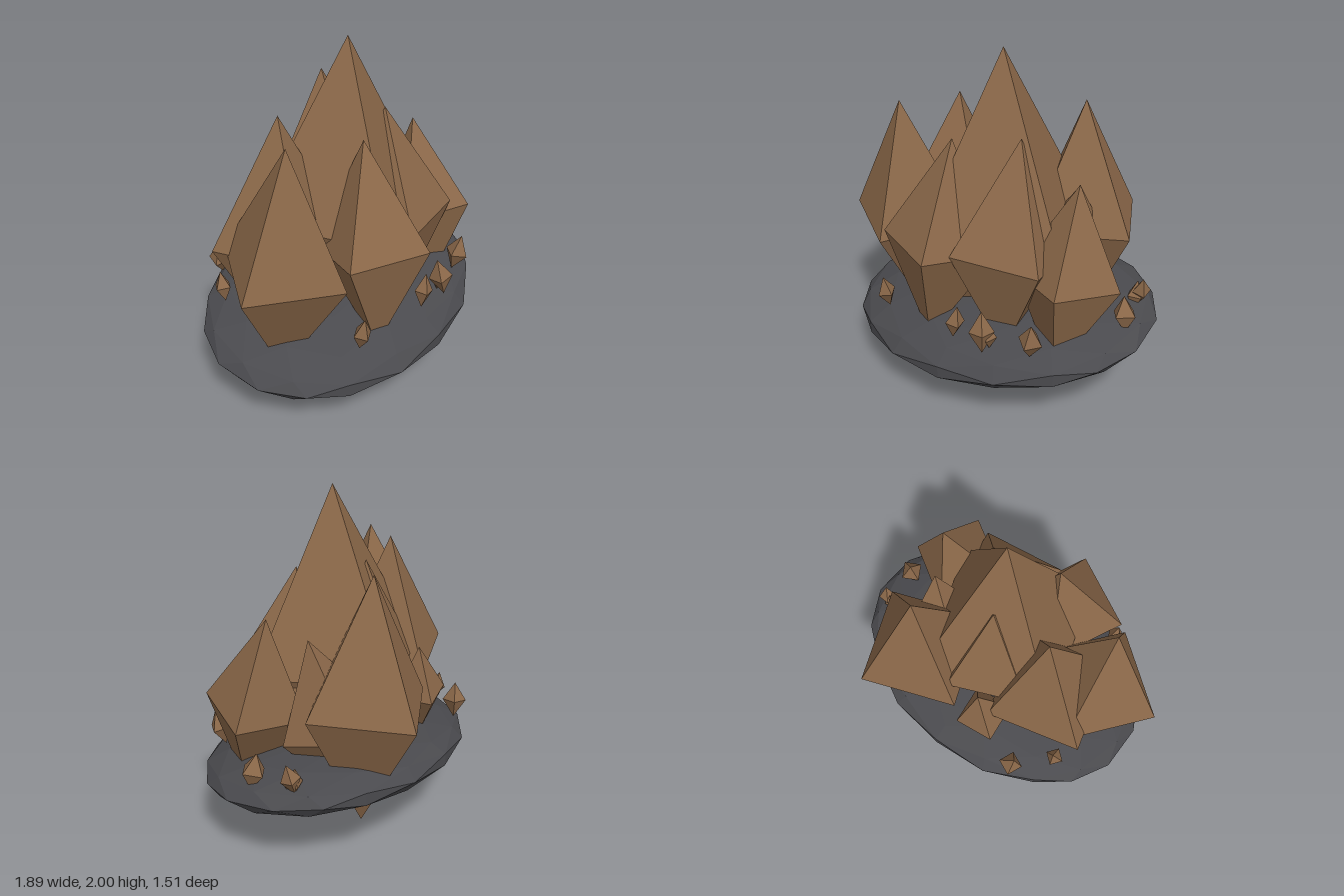
import * as THREE from 'three';

const crystalBrown = new THREE.MeshStandardMaterial({ color: 0x8b6849, flatShading: true });
crystalBrown.name = 'crystal brown';
const rockGrey = new THREE.MeshStandardMaterial({ color: 0x4a4a4e, flatShading: true });
rockGrey.name = 'rock grey';

// Four-sided double-pointed crystal running from its lower tip to its upper tip
function crystal(name, bottom, top, radius, spinDegrees) {
  const a = new THREE.Vector3(...bottom);
  const b = new THREE.Vector3(...top);
  const axis = b.clone().sub(a);
  const geometry = new THREE.OctahedronGeometry(1, 0);
  geometry.rotateY(-THREE.MathUtils.degToRad(spinDegrees));
  geometry.scale(radius, axis.length() / 2, radius);
  const mesh = new THREE.Mesh(geometry, crystalBrown);
  mesh.name = name;
  mesh.position.copy(a).add(b).multiplyScalar(0.5);
  mesh.quaternion.setFromUnitVectors(new THREE.Vector3(0, 1, 0), axis.normalize());
  return mesh;
}

export function createModel() {
  const model = new THREE.Group();
  model.name = 'crystalCluster';

  // Flattened faceted rock, sloping up towards the back left
  const rock = new THREE.IcosahedronGeometry(1, 2);
  rock.scale(0.945, 0.187, 0.715);
  rock.rotateY(0.15);
  const p = rock.attributes.position;
  for (let i = 0; i < p.count; i++) {
    p.setY(i, p.getY(i) + 0.07 * p.getX(i) - 0.125 * p.getZ(i));
  }
  rock.computeVertexNormals();
  const base = new THREE.Mesh(rock, rockGrey);
  base.name = 'rockBase';
  base.position.set(0.01, 0.42, 0.04);
  model.add(base);

  // Large crystals: name, lower tip, upper tip, waist radius, spin
  const large = [
    ['mainCrystal', [-0.01, 0, 0.03], [0.03, 2, 0.06], 0.56, 18],
    ['backLeftCrystal', [0.31, 0.19, -0.36], [0.26, 1.64, -0.39], 0.4, 15],
    ['rightCrystal', [-0.57, 0.18, 0.15], [-0.58, 1.62, 0.25], 0.385, -16],
    ['backRightCrystal', [-0.44, 0.2, 0.02], [-0.38, 1.64, -0.04], 0.393, 22],
    ['frontRightCrystal', [-0.165, 0.325, 0.505], [-0.11, 1.535, 0.32], 0.333, -26],
    ['frontLeftCrystal', [0.235, 0.29, 0.31], [0.23, 1.57, 0.155], 0.364, 29],
    ['leftCrystal', [0.57, 0.3, 0.28], [0.56, 1.38, 0.08], 0.295, -23],
    ['innerLeftCrystal', [0.22, 0.23, -0.22], [0.44, 1.27, -0.1], 0.3, 24],
    ['innerBackCrystal', [-0.1, 0.4, -0.13], [-0.05, 1.59, -0.11], 0.33, 13],
    ['smallBackCrystal', [-0.26, 0.5, -0.36], [-0.2, 1.09, -0.38], 0.165, 30],
  ];
  for (const spec of large) model.add(crystal(...spec));

  // Small shards around the rim: centre, half height, radius
  const shards = [
    [-0.395, 0.595, 0.61, 0.105, 0.055],
    [0.125, 0.605, 0.59, 0.105, 0.055],
    [0.3, 0.605, 0.57, 0.115, 0.07],
    [0.32, 0.57, 0.54, 0.08, 0.05],
    [0.56, 0.615, 0.48, 0.115, 0.07],
    [0.815, 0.63, -0.03, 0.105, 0.075],
    [0.75, 0.615, -0.25, 0.09, 0.055],
    [0.78, 0.65, -0.26, 0.09, 0.055],
    [-0.53, 0.64, -0.44, 0.105, 0.07],
    [-0.68, 0.62, -0.22, 0.09, 0.055],
  ];
  shards.forEach(([x, y, z, h, r], i) => {
    const leanX = 0.02 * Math.sin(i * 2.1);
    const leanZ = 0.02 * Math.cos(i * 1.7);
    model.add(crystal('rimShard' + (i + 1),
      [x - leanX, y - h, z - leanZ], [x + leanX, y + h, z + leanZ], r, 12 + i * 17));
  });

  return model;
}
